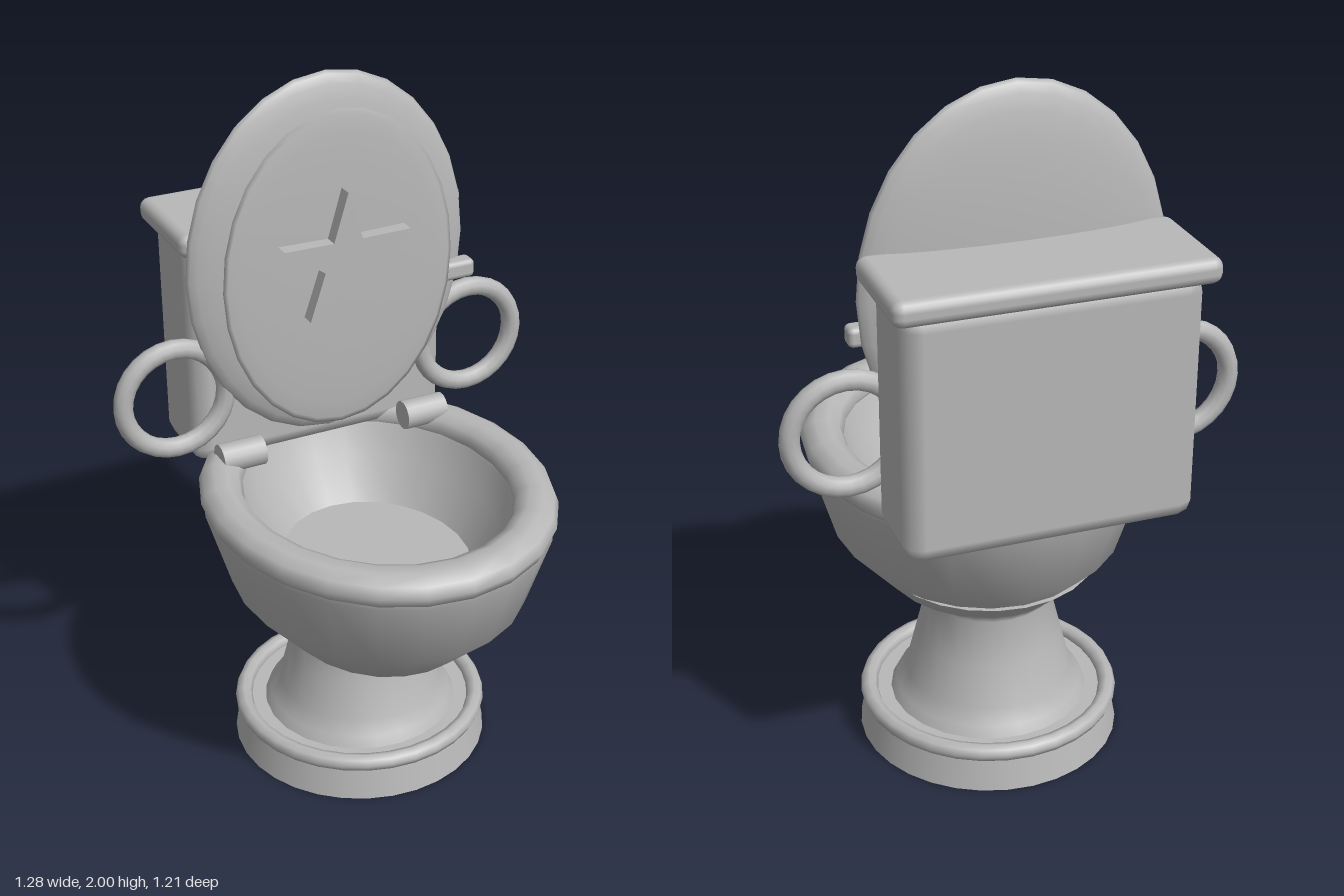
import * as THREE from 'three';
import { RoundedBoxGeometry } from 'three/addons/geometries/RoundedBoxGeometry.js';

export function createModel() {
  const root = new THREE.Group();
  const grey = new THREE.MeshStandardMaterial({ name: 'porcelainGrey', color: 0xb8b8b8 });

  const add = (name, geometry, x = 0, y = 0, z = 0) => {
    const mesh = new THREE.Mesh(geometry, grey);
    mesh.name = name;
    mesh.position.set(x, y, z);
    root.add(mesh);
    return mesh;
  };
  const lathe = (pts, sides = 24) =>
    new THREE.LatheGeometry(pts.map(([r, y]) => new THREE.Vector2(r, y)), sides);

  // Round foot with a raised ring
  const footZ = -0.075;
  add('foot', new THREE.CylinderGeometry(0.355, 0.377, 0.11, 32), 0, 0.055, footZ);
  add('footRing', new THREE.TorusGeometry(0.35, 0.025, 8, 32).rotateX(Math.PI / 2), 0, 0.113, footZ);

  // Pedestal, flaring at the foot and again under the bowl
  add('pedestal', lathe([
    [0.29, 0.1], [0.27, 0.14], [0.24, 0.18], [0.21, 0.3], [0.178, 0.43], [0.215, 0.47], [0.305, 0.55],
  ]), 0, 0, footZ);
  add('pedestalTop', new THREE.CircleGeometry(0.305, 24).rotateX(-Math.PI / 2), 0, 0.55, footZ);

  // Oval bowl: the outer wall runs up to the rim, the inner wall back down
  const bowlZ = 0.04, stretch = 1.165;
  add('bowl', lathe([
    [0, 0.43], [0.18, 0.435], [0.27, 0.46], [0.41, 0.62], [0.475, 0.84], [0.47, 0.88],
  ])).position.z = bowlZ;
  add('bowlInside', lathe([[0.39, 0.9], [0.365, 0.86], [0.335, 0.77], [0.255, 0.65]])).position.z = bowlZ;
  add('bowlFloor', new THREE.CircleGeometry(0.262, 24).rotateX(-Math.PI / 2), 0, 0.66, bowlZ);
  add('rim', new THREE.TorusGeometry(0.425, 0.06, 10, 24)
    .rotateX(Math.PI / 2).scale(1, 0.83, 1), 0, 0.88, bowlZ);
  for (const part of ['bowl', 'bowlInside', 'bowlFloor', 'rim'])
    root.getObjectByName(part).scale.z = stretch;

  // Tank with chamfered edges and an overhanging cover
  add('tank', new RoundedBoxGeometry(0.79, 0.69, 0.27, 1, 0.05), 0, 1.21, -0.447);
  add('tankCover', new RoundedBoxGeometry(0.85, 0.07, 0.335, 2, 0.028), 0, 1.565, -0.437);

  // Raised lens-shaped lid, with a thinner panel on its face
  add('lid', new THREE.SphereGeometry(1, 28, 18).rotateX(Math.PI / 2)
    .scale(0.42, 0.53, 0.064), 0, 1.47, -0.267);
  add('lidPanel', new THREE.SphereGeometry(1, 28, 12).rotateX(Math.PI / 2)
    .scale(0.345, 0.465, 0.018), 0, 1.455, -0.187);

  // Five-pointed star on the panel
  const star = new THREE.Shape(Array.from({ length: 10 }, (_, i) => {
    const r = i % 2 ? 0.073 : 0.197, a = Math.PI / 2 + i * Math.PI / 5;
    return new THREE.Vector2(r * Math.cos(a), r * Math.sin(a));
  }));
  add('star', new THREE.ExtrudeGeometry(star, { depth: 0.07, bevelEnabled: false }), 0, 1.507, -0.2);

  // Flush lever at the lid's edge
  add('lever', new RoundedBoxGeometry(0.11, 0.055, 0.055, 2, 0.015), 0.385, 1.367, -0.237);

  // Ring handles and hinge barrels, mirrored
  for (const [side, s] of [['left', 1], ['right', -1]]) {
    add(side + 'RingHandle', new THREE.TorusGeometry(0.152, 0.028, 10, 28), s * 0.46, 1.12, -0.29);
    add(side + 'Hinge', new THREE.CylinderGeometry(0.043, 0.043, 0.13, 14)
      .rotateZ(Math.PI / 2), s * 0.29, 0.925, -0.24);
  }
  return root;
}
